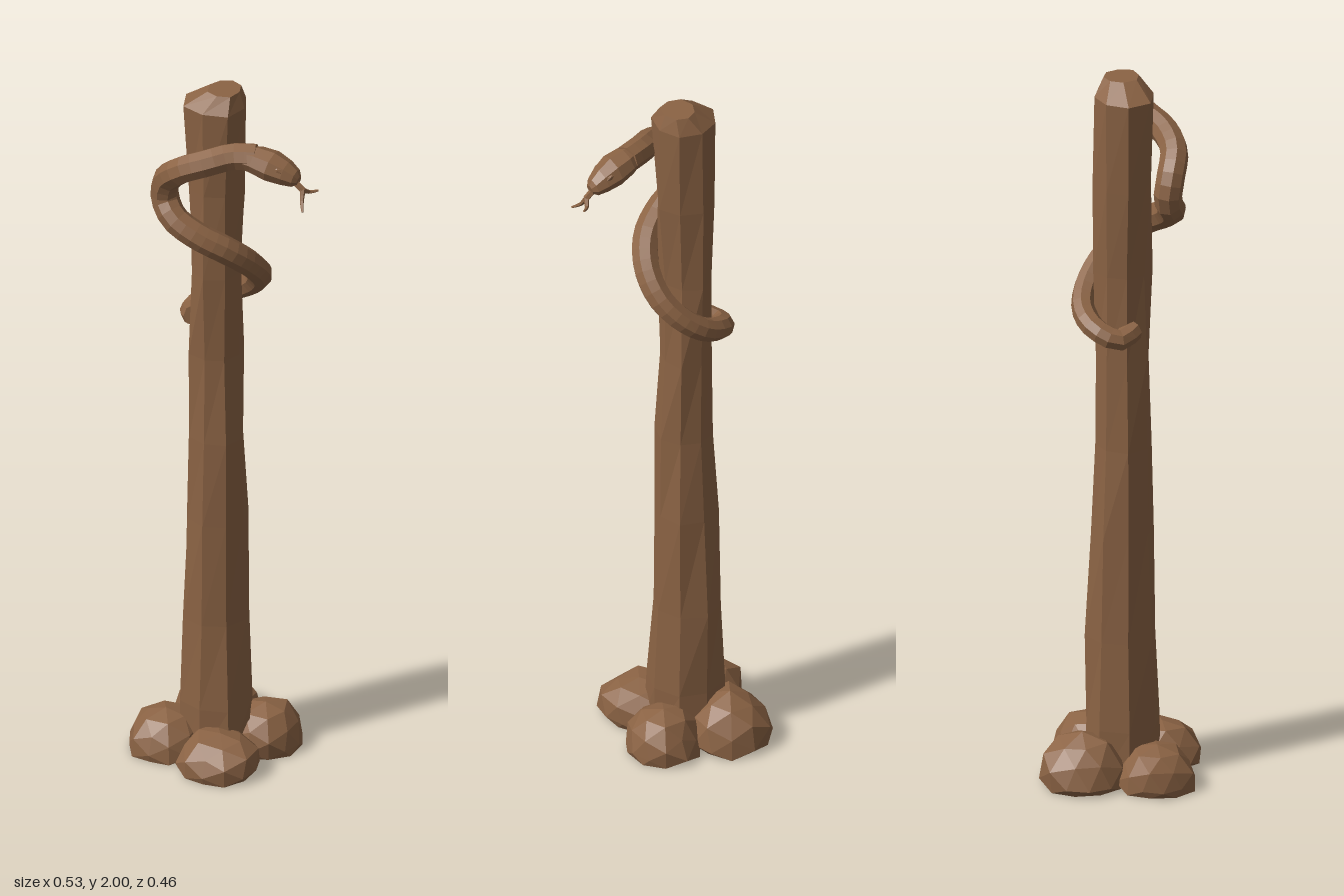
import * as THREE from 'three';

const wood = new THREE.MeshStandardMaterial({ color: 0x8b6344, flatShading: true });
wood.name = 'brown wood';

const V = (x, y, z) => new THREE.Vector3(x, y, z);

// Repeatable noise in -1..1
const noise = (a, b, c = 0) => {
  const s = Math.sin(a * 12.9898 + b * 78.233 + c * 37.719) * 43758.5453;
  return (s - Math.floor(s)) * 2 - 1;
};

// Ring of points around centre c, spanned by axes u and v (u x v points along the loft)
const ring = (c, u, v, n, vary = () => 1) =>
  Array.from({ length: n }, (_, j) => {
    const a = (j / n) * Math.PI * 2, k = vary(j);
    return c.clone().addScaledVector(u, Math.cos(a) * k).addScaledVector(v, Math.sin(a) * k);
  });

// Closed skin through rings of equal size
function loft(rings) {
  const n = rings[0].length, pts = [];
  const mid = (r) => r.reduce((s, p) => s.add(p), V(0, 0, 0)).divideScalar(n);
  const first = rings[0], last = rings[rings.length - 1];
  const m0 = mid(first), m1 = mid(last);
  for (let j = 0; j < n; j++) {
    const k = (j + 1) % n;
    for (let i = 0; i + 1 < rings.length; i++) {
      const a = rings[i][j], b = rings[i][k], c = rings[i + 1][k], d = rings[i + 1][j];
      pts.push(a, b, c, a, c, d);
    }
    pts.push(m0, first[k], first[j], m1, last[j], last[k]);
  }
  const g = new THREE.BufferGeometry().setFromPoints(pts);
  g.computeVertexNormals();
  return g;
}

function part(name, geometry) {
  const m = new THREE.Mesh(geometry, wood);
  m.name = name;
  return m;
}

// Round tube along a smooth path, with its radius given as a function of 0..1
function taperedTube(points, radius, steps, sides) {
  const curve = new THREE.CatmullRomCurve3(points);
  const f = curve.computeFrenetFrames(steps, false);
  return loft(Array.from({ length: steps + 1 }, (_, i) => {
    const r = radius(i / steps);
    return ring(curve.getPointAt(i / steps), f.normals[i].clone().multiplyScalar(r),
      f.binormals[i].clone().multiplyScalar(r), sides);
  }));
}

// Faceted trunk: y, centre x, centre z, radius x, radius z
function makePost() {
  const sections = [
    [0.0, -0.05, 0.005, 0.104, 0.107],
    [0.15, -0.05, 0.005, 0.1, 0.103],
    [0.4, -0.05, 0.003, 0.092, 0.095],
    [0.7, -0.05, 0.005, 0.084, 0.085],
    [0.95, -0.048, 0.005, 0.077, 0.08],
    [1.2, -0.05, 0.003, 0.072, 0.075],
    [1.45, -0.05, 0.003, 0.072, 0.075],
    [1.7, -0.05, 0.005, 0.08, 0.079],
    [1.955, -0.05, 0.005, 0.088, 0.084],
    [2.0, -0.025, 0.002, 0.045, 0.05],
  ];
  return part('post', loft(sections.map(([y, x, z, rx, rz], i) =>
    ring(V(x, y, z), V(0, 0, rz), V(rx, 0, 0), 8,
      (j) => 1 + 0.08 * noise(j, i < 8 ? i : 8)))));
}

// Flat-bottomed boulder: centre x, z, radius x, z, height
function makeRock([x, z, rx, rz, h], seed) {
  const g = new THREE.IcosahedronGeometry(1, 1), p = g.attributes.position;
  for (let i = 0; i < p.count; i++) {
    const q = V(0, 0, 0).fromBufferAttribute(p, i);
    const n = [q.x, q.y, q.z].map((c) => Math.round(c * 50));
    q.multiplyScalar(1 + 0.08 * noise(n[0] + seed, n[1], n[2]));
    p.setXYZ(i, x + q.x * rx, Math.max(0, 0.02 + q.y * (h - 0.02)), z + q.z * rz);
  }
  g.computeVertexNormals();
  return part('rock', g);
}

function makeSnake() {
  const snake = new THREE.Group();
  snake.name = 'snake';

  // Body winds from the tail behind the post, round its left side and across the front
  const path = [
    V(-0.105, 1.3, 0.025), V(-0.138, 1.285, -0.02), V(-0.11, 1.31, -0.08), V(-0.04, 1.34, -0.1),
    V(0.02, 1.385, -0.08), V(0.058, 1.44, -0.035), V(0.058, 1.505, 0.03), V(0.02, 1.56, 0.085),
    V(-0.05, 1.605, 0.12), V(-0.115, 1.645, 0.125), V(-0.15, 1.69, 0.108), V(-0.14, 1.75, 0.118),
    V(-0.09, 1.8, 0.135), V(-0.02, 1.832, 0.12), V(0.04, 1.85, 0.085), V(0.1, 1.853, 0.065),
  ];
  snake.add(part('body', taperedTube(path, (t) => 0.029 + 0.009 * Math.min(1, t * 2), 40, 8)));

  // Flattened head: x, y, z, half height, half width
  const head = [
    [0.06, 1.853, 0.078, 0.03, 0.033], [0.1, 1.848, 0.067, 0.037, 0.042],
    [0.145, 1.838, 0.063, 0.041, 0.047], [0.185, 1.825, 0.059, 0.034, 0.038],
    [0.212, 1.814, 0.057, 0.024, 0.027], [0.222, 1.81, 0.057, 0.012, 0.014],
  ];
  snake.add(part('head', loft(head.map(([x, y, z, h, w]) =>
    ring(V(x, y, z), V(h * 0.2, h, 0), V(0, 0, w), 8)))));

  // Brows over the eyes
  for (const side of [-1, 1]) {
    const brow = part('brow', new THREE.IcosahedronGeometry(0.011, 0));
    brow.scale.set(1.5, 0.8, 0.8);
    brow.rotation.z = -0.4;
    brow.position.set(0.175, 1.845, 0.06 + side * 0.028);
    snake.add(brow);
  }

  // Forked tongue
  const fork = V(0.234, 1.785, 0.058);
  const prong = (points) => part('tongue', taperedTube(points, (t) => 0.008 - 0.005 * t, 4, 5));
  snake.add(
    part('tongue', taperedTube([V(0.2, 1.812, 0.057), fork], () => 0.009, 2, 5)),
    prong([fork, V(0.246, 1.772, 0.038), V(0.264, 1.775, 0.025)]),
    prong([fork, V(0.24, 1.76, 0.075), V(0.253, 1.742, 0.097)]),
  );
  return snake;
}

export function createModel() {
  const model = new THREE.Group();
  model.name = 'snake post';
  model.add(makePost(), makeSnake());

  // Boulders round the foot
  const rocks = new THREE.Group();
  rocks.name = 'rocks';
  [
    [-0.11, -0.115, 0.118, 0.115, 0.145],
    [0.065, -0.058, 0.105, 0.107, 0.125],
    [-0.162, 0.078, 0.105, 0.108, 0.12],
    [0.02, 0.12, 0.112, 0.108, 0.11],
  ].forEach((r, i) => rocks.add(makeRock(r, i * 7 + 3)));
  model.add(rocks);
  return model;
}
